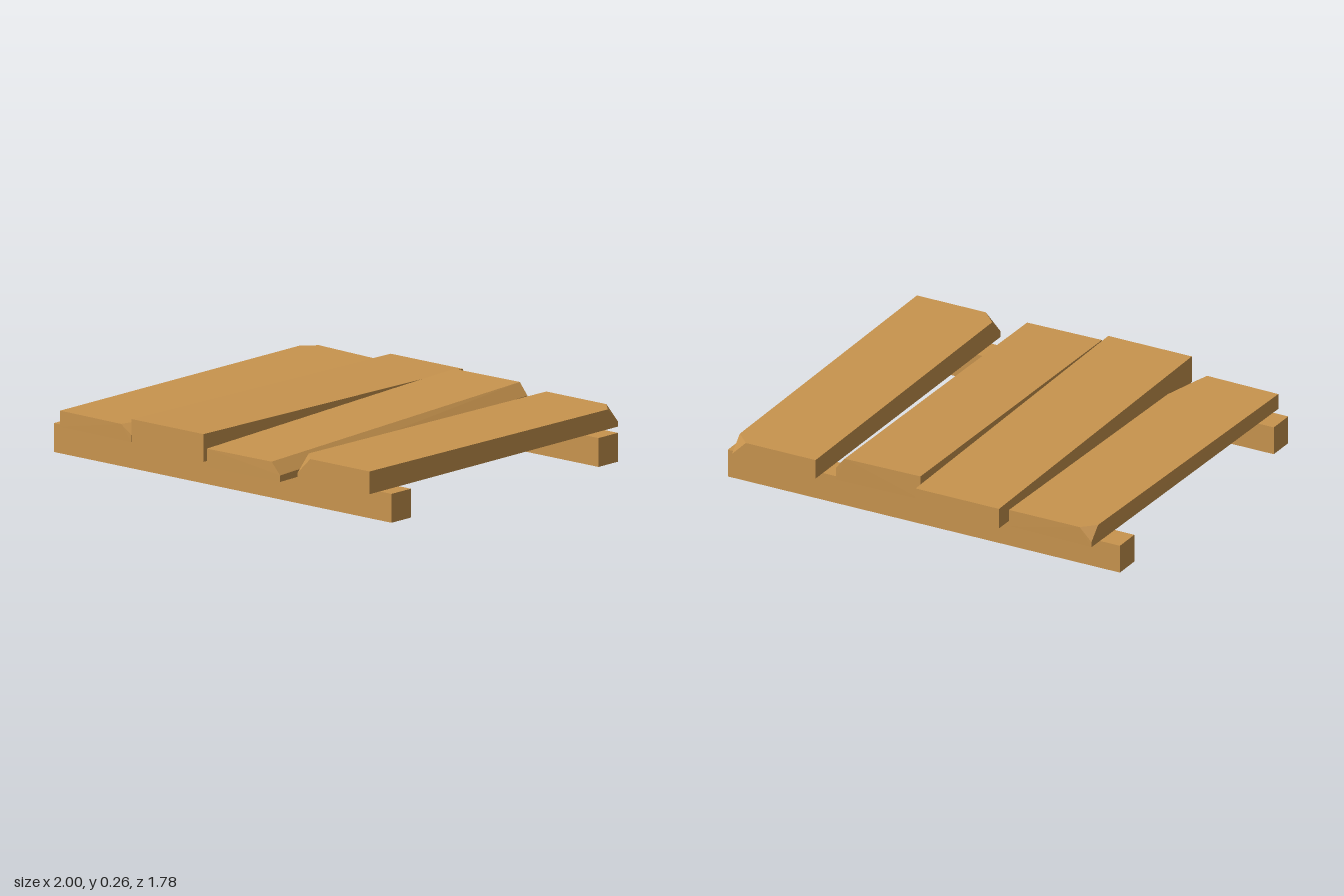
import * as THREE from 'three';
import { ConvexGeometry } from 'three/addons/geometries/ConvexGeometry.js';

const wood = new THREE.MeshStandardMaterial({ color: 0xc8944e });
wood.name = 'wood';

// A plank from four corners [x, z, bottom, top], in order around the outline:
// back left, back right, front right, front left (as seen from above).
// cuts[i] = [dx, dy, dz] bevels the top of corner i; a zero dz bevels along the whole edge.
function plank(name, corners, cuts = {}) {
  const points = [];
  corners.forEach(([x, z, bottom, top], i) => {
    points.push(new THREE.Vector3(x, bottom, z));
    const cut = cuts[i];
    if (!cut) {
      points.push(new THREE.Vector3(x, top, z));
      return;
    }
    const [dx, dy, dz] = cut;
    const inX = i === 0 || i === 3 ? 1 : -1;
    const inZ = i < 2 ? 1 : -1;
    points.push(new THREE.Vector3(x + inX * dx, top, z));
    points.push(new THREE.Vector3(x, top - dy, z));
    if (dz) points.push(new THREE.Vector3(x, top, z + inZ * dz));
  });
  const mesh = new THREE.Mesh(new ConvexGeometry(points), wood);
  mesh.name = name;
  return mesh;
}

export function createModel() {
  const group = new THREE.Group();
  group.name = 'plankPlatform';

  // Two cross rails on the ground
  for (const [name, z] of [['backRail', -0.705], ['frontRail', 0.685]]) {
    const rail = new THREE.Mesh(new THREE.BoxGeometry(2, 0.132, 0.13), wood);
    rail.name = name;
    rail.position.set(0, 0.066, z);
    group.add(rail);
  }

  // Four uneven planks, with chipped corners and one bevelled edge
  group.add(
    plank('plankOne', [
      [-0.9, -0.85, 0.135, 0.22], [-0.475, -0.842, 0.135, 0.215],
      [-0.5, 0.797, 0.135, 0.208], [-0.927, 0.79, 0.135, 0.208],
    ], { 0: [0.06, 0.06, 0.06], 2: [0.06, 0.04, 0.25] }),
    plank('plankTwo', [
      [-0.453, -0.893, 0.14, 0.236], [-0.027, -0.893, 0.14, 0.236],
      [-0.027, 0.848, 0.13, 0.257], [-0.453, 0.848, 0.13, 0.257],
    ]),
    plank('plankThree', [
      [-0.005, -0.81, 0.142, 0.255], [0.422, -0.818, 0.142, 0.255],
      [0.455, 0.88, 0.122, 0.207], [0.028, 0.888, 0.122, 0.207],
    ], { 1: [0.045, 0.055, 0], 2: [0.05, 0.055, 0] }),
    plank('plankFour', [
      [0.51, -0.845, 0.137, 0.228], [0.936, -0.845, 0.137, 0.228],
      [0.936, 0.825, 0.134, 0.238], [0.51, 0.825, 0.134, 0.238],
    ], { 1: [0.07, 0.07, 0.07], 3: [0.075, 0.075, 0.075] }),
  );
  return group;
}
